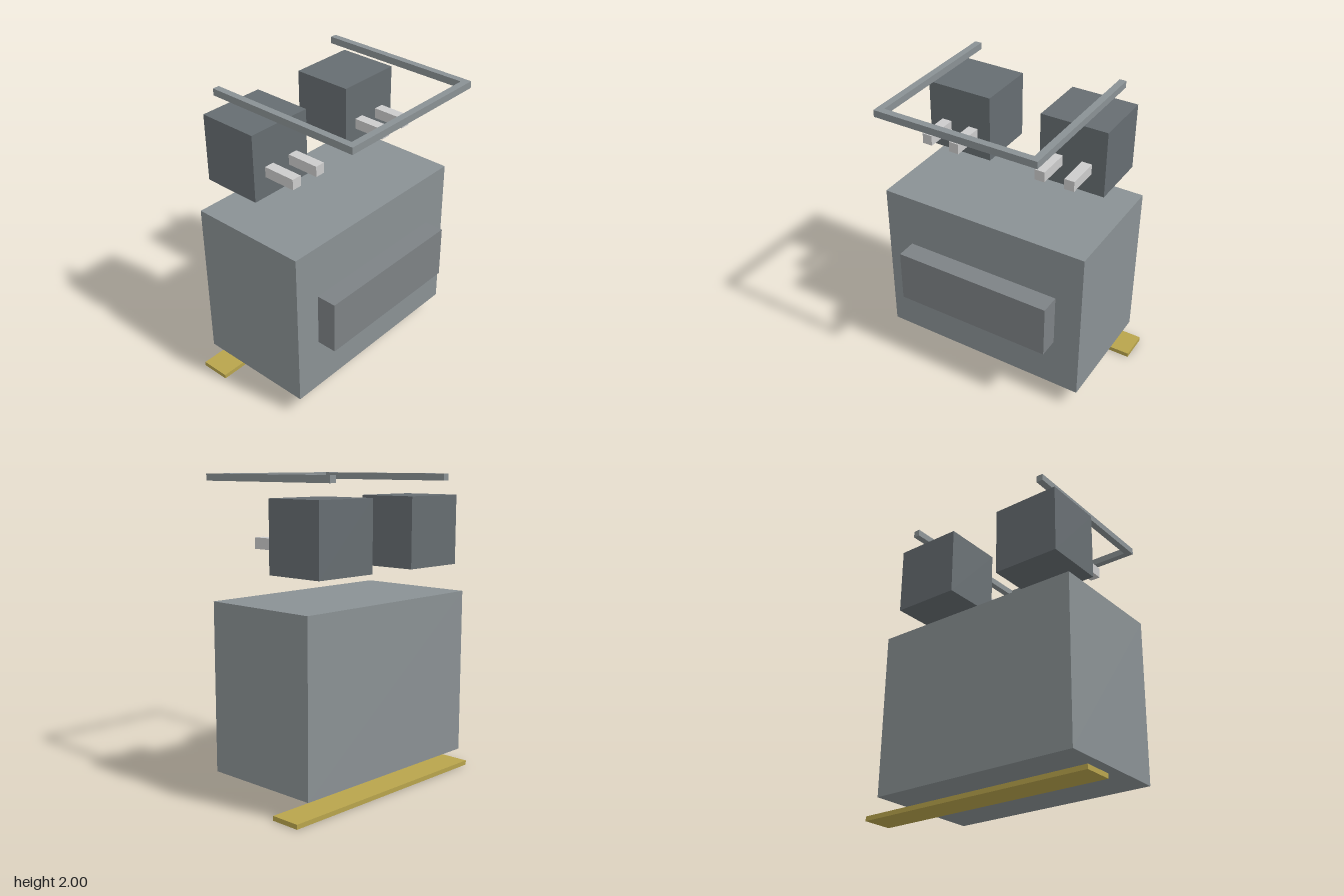
import * as THREE from 'three';

const BACK = -0.545; // every part is flush with this rear plane

export function createModel() {
  const model = new THREE.Group();
  model.name = 'machine';

  const bodyMat = new THREE.MeshStandardMaterial({ color: 0x8a9194 });
  const panelMat = new THREE.MeshStandardMaterial({ color: 0x7d8285 });
  const headMat = new THREE.MeshStandardMaterial({ color: 0x666d71 });
  const prongMat = new THREE.MeshStandardMaterial({ color: 0xcccccc });
  const plateMat = new THREE.MeshStandardMaterial({ color: 0xb8a44c });

  // Box given by its extents on each axis
  function box(name, [x0, x1], [y0, y1], [z0, z1], material, parent = model) {
    const mesh = new THREE.Mesh(new THREE.BoxGeometry(x1 - x0, y1 - y0, z1 - z0), material);
    mesh.position.set((x0 + x1) / 2, (y0 + y1) / 2, (z0 + z1) / 2);
    mesh.name = name;
    parent.add(mesh);
    return mesh;
  }

  // Main block with its raised front panel
  box('body', [-0.727, 0.727], [0.136, 1.227], [BACK, 0.273], bodyMat);
  box('frontPanel', [-0.545, 0.545], [0.5, 0.864], [0.273, 0.409], panelMat);

  // Thin strip on the ground below the rear edge
  box('basePlate', [-0.818, 0.818], [0, 0.03], [BACK, -0.345], plateMat);

  // Two upper blocks, each with a pair of forward prongs
  for (const side of [-1, 1]) {
    const unit = new THREE.Group();
    unit.name = side > 0 ? 'leftUpperUnit' : 'rightUpperUnit';
    const cx = side * 0.409;
    box('upperBlock', [cx - 0.227, cx + 0.227], [1.414, 1.864], [BACK, -0.136], headMat, unit);
    for (const offset of [-0.1, 0.1]) {
      const px = cx + offset;
      box('prong', [px - 0.034, px + 0.034], [1.55, 1.62], [-0.136, 0.09], prongMat, unit);
    }
    model.add(unit);
  }

  // U-shaped rail on top, open at the back (shape y is -z)
  const rail = new THREE.Shape([
    [-0.545, 0.545], [-0.545, -0.545], [0.545, -0.545], [0.545, 0.545],
    [0.5, 0.545], [0.5, -0.5], [-0.5, -0.5], [-0.5, 0.545],
  ].map(([x, y]) => new THREE.Vector2(x, y)));
  const railGeometry = new THREE.ExtrudeGeometry(rail, { depth: 0.045, bevelEnabled: false });
  railGeometry.rotateX(-Math.PI / 2);
  const railMesh = new THREE.Mesh(railGeometry, bodyMat);
  railMesh.position.y = 1.955;
  railMesh.name = 'topRail';
  model.add(railMesh);

  return model;
}
